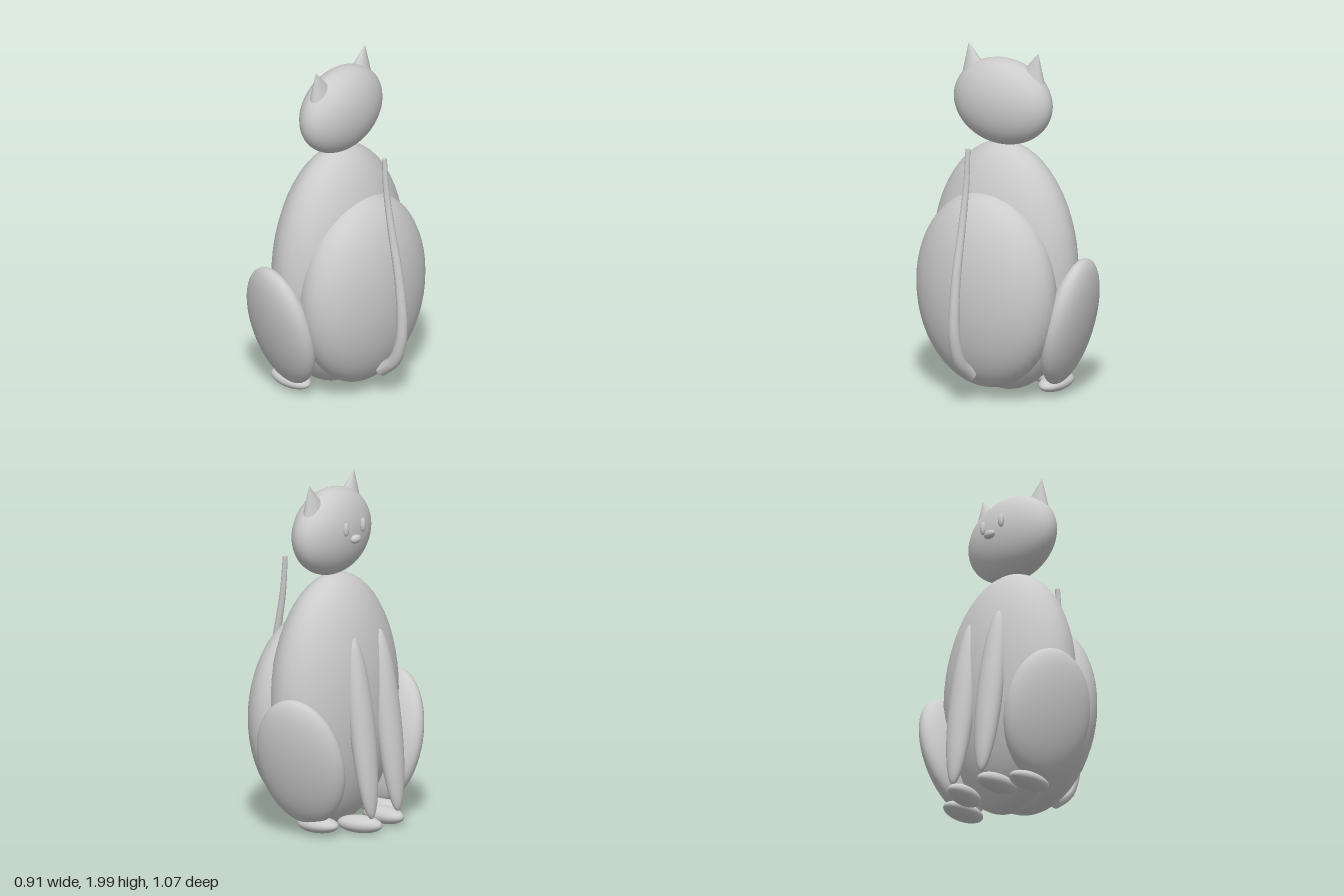
import * as THREE from 'three';

const material = new THREE.MeshStandardMaterial({ color: 0xcccccc });

function addMesh(group, name, geometry, position = [0, 0, 0], rotation = [0, 0, 0]) {
  const mesh = new THREE.Mesh(geometry, material);
  mesh.name = name;
  mesh.position.set(...position);
  mesh.rotation.set(...rotation);
  group.add(mesh);
  return mesh;
}

function addEllipsoid(group, name, radii, position, rotation) {
  const geometry = new THREE.SphereGeometry(1, 40, 28).scale(...radii);
  return addMesh(group, name, geometry, position, rotation);
}

// Tapered capped cylinder bent along a curve lying in the xy plane
function bentTaper(curve, startRadius, endRadius) {
  const geometry = new THREE.CylinderGeometry(endRadius, startRadius, 1, 16, 40);
  const pos = geometry.attributes.position;
  for (let i = 0; i < pos.count; i++) {
    const u = THREE.MathUtils.clamp(pos.getY(i) + 0.5, 0, 1);
    const p = curve.getPointAt(u);
    const t = curve.getTangentAt(u);
    const x = pos.getX(i);
    pos.setXYZ(i, p.x + x * t.y, p.y - x * t.x, p.z + pos.getZ(i));
  }
  geometry.computeVertexNormals();
  return geometry;
}

export function createModel() {
  const cat = new THREE.Group();
  cat.name = 'sittingCat';

  // Torso and rump
  addEllipsoid(cat, 'chest', [0.275, 0.72, 0.465], [-0.06, 0.735, 0]);
  addEllipsoid(cat, 'rump', [0.25, 0.565, 0.45], [0.12, 0.635, 0]);

  // Head, facing -x
  addEllipsoid(cat, 'head', [0.16, 0.248, 0.312], [-0.04, 1.693, 0], [0, 0.055, 0]);
  addEllipsoid(cat, 'nose', [0.022, 0.025, 0.04], [-0.215, 1.672, 0]);

  for (const side of [1, -1]) {
    const label = side > 0 ? 'PlusZ' : 'MinusZ';

    // Face and flattened conical ears
    addEllipsoid(cat, 'eye' + label, [0.016, 0.04, 0.018], [-0.201, 1.737, side * 0.075 + 0.005]);
    const ear = new THREE.ConeGeometry(0.085, 0.17, 24).translate(0, -0.085, 0).scale(0.62, 1, 1);
    addMesh(cat, 'ear' + label, ear, [-0.042 + side * 0.02, 2, side * 0.225], [side * 0.26, 0, 0]);

    // Hind legs lean outward at the top and the back
    addEllipsoid(cat, 'thigh' + label, [0.268, 0.382, 0.11],
      [-0.135, 0.452, side * 0.39], [side * 0.24, -side * 0.19, 0]);
    addEllipsoid(cat, 'hindPaw' + label, [0.135, 0.046, 0.075],
      [-0.165, 0.072, side * 0.02 + side * 0.255], [0, 0, -0.04]);

    // Slim front legs and paws
    const z = side > 0 ? 0.14 : -0.095;
    addEllipsoid(cat, 'frontLeg' + label, [0.065, 0.52, 0.082], [-0.337, 0.62, z], [0, 0, -0.13]);
    addEllipsoid(cat, 'frontPaw' + label, [0.135, 0.05, 0.068],
      [side > 0 ? -0.295 : -0.32, 0.064, side > 0 ? 0.15 : -0.095], [0, side > 0 ? 0 : 0.25, 0]);
  }

  // Upright tail
  const tailPath = new THREE.CatmullRomCurve3([
    [0.27, 0.17], [0.37, 0.26], [0.42, 0.4], [0.427, 0.56], [0.4, 0.8],
    [0.35, 1.05], [0.31, 1.28], [0.293, 1.49],
  ].map(([x, y]) => new THREE.Vector3(x, y, 0.004)));
  addMesh(cat, 'tail', bentTaper(tailPath, 0.038, 0.014));

  return cat;
}
